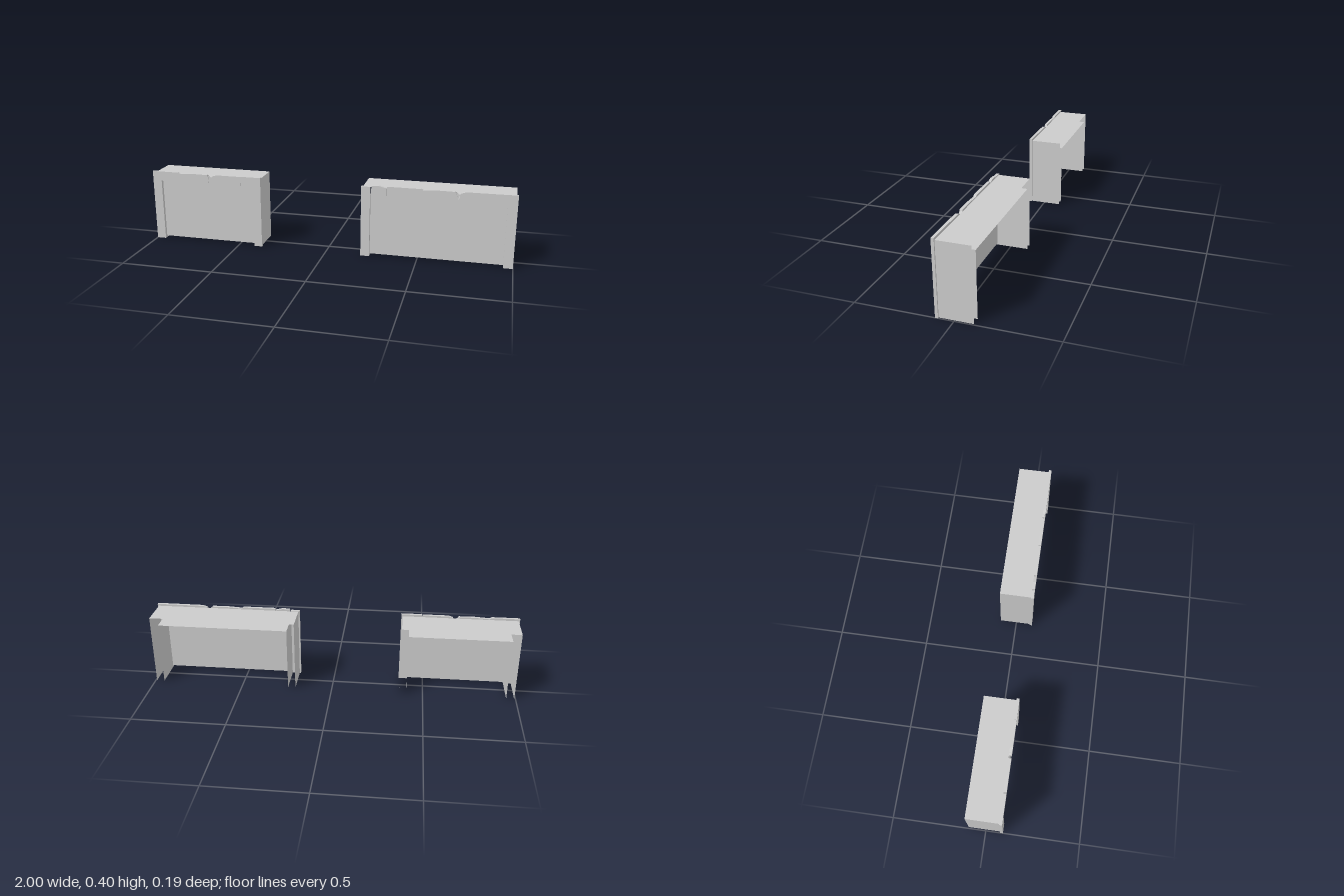
import * as THREE from 'three';

const Z_BACK = -0.092, Z_TRIM = 0.077, Z_FRONT = 0.092, TOP = 0.386, LINTEL = 0.345;
const material = new THREE.MeshStandardMaterial({ color: 0xcccccc, side: THREE.DoubleSide, flatShading: true });

function addMesh(group, name, geometry) {
  const mesh = new THREE.Mesh(geometry, material);
  mesh.name = name;
  group.add(mesh);
}

// Flat sheet spanning two corners; one of the three extents is zero
function sheet(group, name, [x0, y0, z0], [x1, y1, z1]) {
  const dx = x1 - x0, dy = y1 - y0, dz = z1 - z0;
  let g;
  if (dx === 0) g = new THREE.PlaneGeometry(dz, dy).rotateY(Math.PI / 2);
  else if (dy === 0) g = new THREE.PlaneGeometry(dx, dz).rotateX(-Math.PI / 2);
  else g = new THREE.PlaneGeometry(dx, dy);
  g.translate((x0 + x1) / 2, (y0 + y1) / 2, (z0 + z1) / 2);
  addMesh(group, name, g);
}

// Open tunnel: two side sheets and a top, without back or floor
function tunnel(group, name, x0, x1, top, back, front) {
  sheet(group, name + 'RightWall', [x0, 0, back], [x0, top, front]);
  sheet(group, name + 'LeftWall', [x1, 0, back], [x1, top, front]);
  sheet(group, name + 'Top', [x0, top, back], [x1, top, front]);
}

// Trim board cut from an outline in the front plane
function board(group, name, points, front = Z_FRONT) {
  const shape = new THREE.Shape(points.map(([x, y]) => new THREE.Vector2(x, y)));
  const g = new THREE.ExtrudeGeometry(shape, { depth: front - Z_TRIM, bevelEnabled: false });
  addMesh(group, name, g.translate(0, 0, Z_TRIM));
}

const rect = (x0, y0, x1, y1) => [[x0, y0], [x1, y0], [x1, y1], [x0, y1]];

// Shell, inner lining and closing panel behind the trim
function niche(name, x0, x1, innerX0, innerX1) {
  const group = new THREE.Group();
  group.name = name;
  tunnel(group, 'outer', x0 + 0.007, x1 - 0.007, TOP, Z_BACK, Z_TRIM);
  tunnel(group, 'lining', innerX0, innerX1, LINTEL, Z_BACK - 0.001, Z_TRIM);
  sheet(group, 'panel', [innerX0, 0.01, 0.074], [innerX1, LINTEL + 0.005, 0.074]);
  return group;
}

// Broken joint of the lintel: small splinter with a V-shaped gap above it
function splinter(group, x) {
  board(group, 'splinter', [[x - 0.008, 0.39], [x - 0.003, 0.347], [x + 0.004, 0.35],
    [x + 0.007, 0.37], [x + 0.018, 0.385], [x + 0.004, 0.378]], 0.086);
}

export function createModel() {
  const model = new THREE.Group();
  model.name = 'windowNiches';

  // Narrow niche
  const small = niche('narrowNiche', -1, -0.365, -0.95, -0.41);
  board(small, 'rightPost', rect(-1, 0, -0.95, LINTEL));
  board(small, 'lintelRight', [[-1, LINTEL], [-0.85, LINTEL], [-0.84, 0.349], [-0.666, 0.348],
    [-0.664, 0.37], [-0.674, 0.394], [-0.76, 0.395], [-0.84, 0.39], [-0.85, 0.397], [-1, 0.397]]);
  board(small, 'lintelMiddle', [[-0.655, 0.347], [-0.478, 0.346], [-0.478, 0.396],
    [-0.62, 0.396], [-0.643, 0.388], [-0.653, 0.37]]);
  board(small, 'lintelLeft', [[-0.477, LINTEL], [-0.41, LINTEL], [-0.41, 0.278], [-0.365, 0.278],
    [-0.365, 0.397], [-0.477, 0.397]]);
  board(small, 'leftPost', rect(-0.41, 0, -0.365, 0.278));
  splinter(small, -0.662);

  // Wide niche
  const large = niche('wideNiche', 0.195, 1, 0.243, 0.95);
  board(large, 'rightPost', rect(0.195, 0, 0.243, 0.39));
  board(large, 'brokenPiece', [[0.247, 0.35], [0.328, LINTEL], [0.328, 0.388], [0.29, 0.398], [0.25, 0.396]]);
  board(large, 'lintelRight', [[0.331, LINTEL], [0.51, LINTEL], [0.52, 0.349], [0.694, 0.348],
    [0.696, 0.37], [0.686, 0.394], [0.6, 0.395], [0.52, 0.39], [0.51, 0.397], [0.331, 0.397]]);
  board(large, 'lintelLeft', [[0.705, 0.347], [0.95, LINTEL], [0.95, 0.278], [1, 0.278], [1, 0.397],
    [0.74, 0.396], [0.717, 0.388], [0.707, 0.37]]);
  board(large, 'leftPost', rect(0.95, 0, 1, 0.278));
  splinter(large, 0.698);

  model.add(small, large);
  return model;
}
